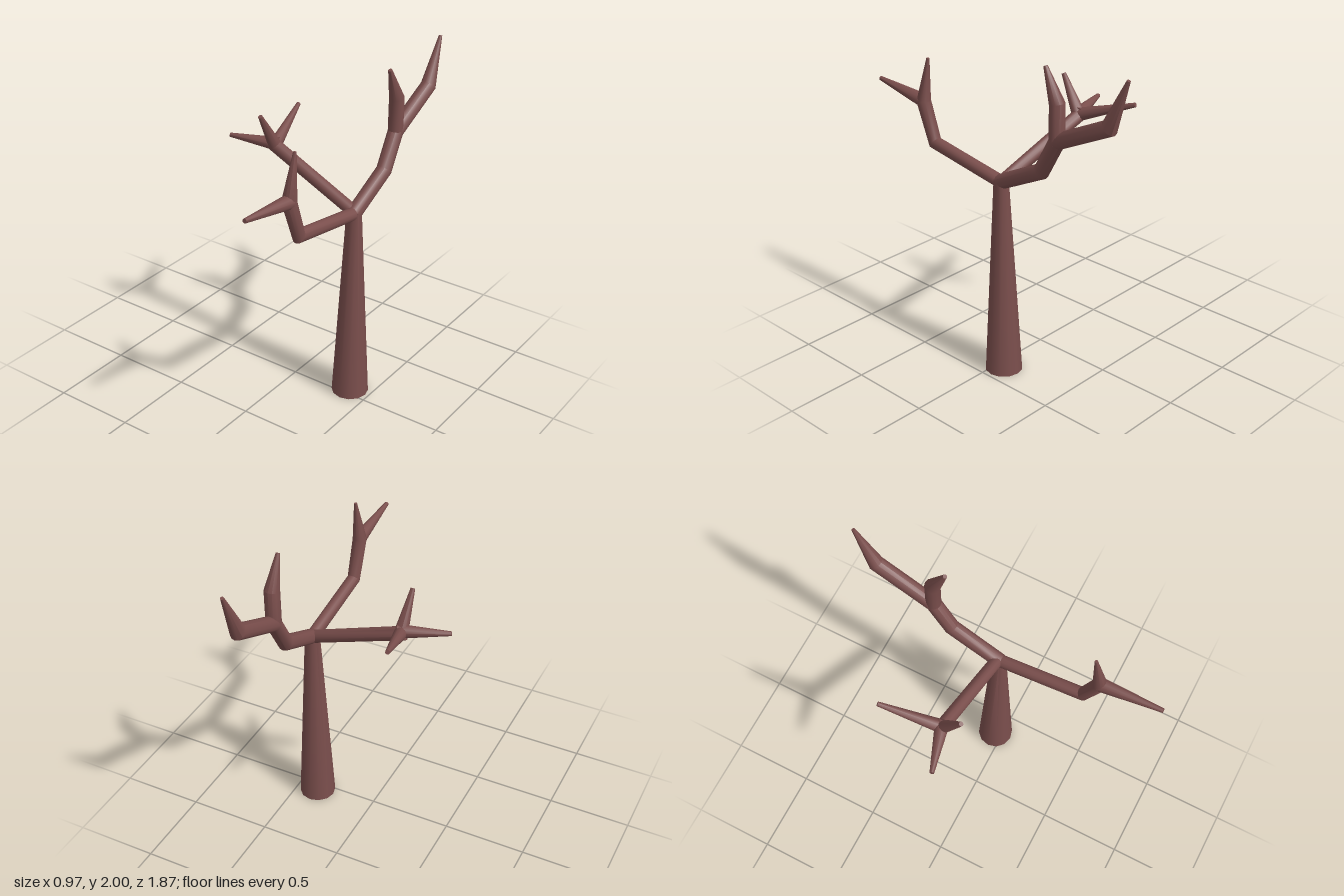
import * as THREE from 'three';
import { toCreasedNormals } from 'three/addons/utils/BufferGeometryUtils.js';

const SIDES = 12;

// Capped limb swept along a planar path of [x, y, z, radius], mitred at each bend.
function limbGeometry(path) {
  const pts = path.map(([x, y, z]) => new THREE.Vector3(x, y, z));
  const dirs = pts.slice(1).map((p, i) => p.clone().sub(pts[i]).normalize());
  const axis = new THREE.Vector3();
  if (dirs.length > 1) axis.crossVectors(dirs[0], dirs[1]);
  else axis.crossVectors(dirs[0], new THREE.Vector3(0.3, 0.9, 0.2));
  axis.normalize();

  const pos = [];
  const index = [];
  pts.forEach((p, i) => {
    const before = dirs[Math.max(i - 1, 0)];
    const after = dirs[Math.min(i, dirs.length - 1)];
    const n = before.clone().add(after).normalize();
    const w = n.clone().cross(axis).divideScalar(before.dot(n));
    const r = path[i][3];
    for (let k = 0; k < SIDES; k++) {
      const a = (k / SIDES) * Math.PI * 2;
      const v = p.clone()
        .addScaledVector(axis, Math.cos(a) * r)
        .addScaledVector(w, Math.sin(a) * r);
      pos.push(v.x, v.y, v.z);
      if (i > 0) {
        const b = i * SIDES + k;
        const c = i * SIDES + ((k + 1) % SIDES);
        index.push(b - SIDES, c - SIDES, c, b - SIDES, c, b);
      }
    }
  });

  // End caps
  const last = (pts.length - 1) * SIDES;
  for (let k = 1; k < SIDES - 1; k++) {
    index.push(0, k + 1, k, last, last + k, last + k + 1);
  }

  const geo = new THREE.BufferGeometry();
  geo.setAttribute('position', new THREE.Float32BufferAttribute(pos, 3));
  geo.setIndex(index);
  // axis, n x axis and n form a right-handed frame, so sides face outward
  return toCreasedNormals(geo, 0.65);
}

export function createModel() {
  const tree = new THREE.Group();
  tree.name = 'bareTree';
  const bark = new THREE.MeshStandardMaterial({ color: 0x7a4e4c, roughness: 0.9 });

  const X = 0.37;
  const limbs = {
    // Trunk bending into the rear branch
    trunkAndRearBranch: [
      [X, 0, -0.05, 0.11], [X, 1.2, -0.05, 0.044], [X, 1.35, -0.35, 0.045],
      [X, 1.55, -0.46, 0.045], [X, 1.72, -0.81, 0.045], [X, 1.995, -0.923, 0.01],
    ],
    rearTwig: [[X, 1.54, -0.46, 0.044], [X, 1.76, -0.46, 0.044], [X, 1.947, -0.378, 0.012]],
    // Front branch with two twigs
    frontBranch: [
      [X, 1.2, -0.03, 0.038], [X, 1.285, 0.48, 0.038],
      [X, 1.52, 0.565, 0.042], [X, 1.785, 0.515, 0.009],
    ],
    frontTwig: [[X, 1.52, 0.56, 0.042], [X, 1.567, 0.935, 0.013]],
    // Side branch with three twigs
    sideBranch: [[X, 1.2, -0.055, 0.038], [-0.22, 1.44, -0.1, 0.04], [-0.226, 1.66, 0.027, 0.013]],
    sideTwigOuter: [[-0.2, 1.45, -0.105, 0.042], [-0.483, 1.467, -0.018, 0.013]],
    sideTwigRear: [[-0.215, 1.44, -0.09, 0.04], [-0.3, 1.565, -0.443, 0.013]],
  };

  for (const [name, path] of Object.entries(limbs)) {
    const mesh = new THREE.Mesh(limbGeometry(path), bark);
    mesh.name = name;
    tree.add(mesh);
  }
  return tree;
}
